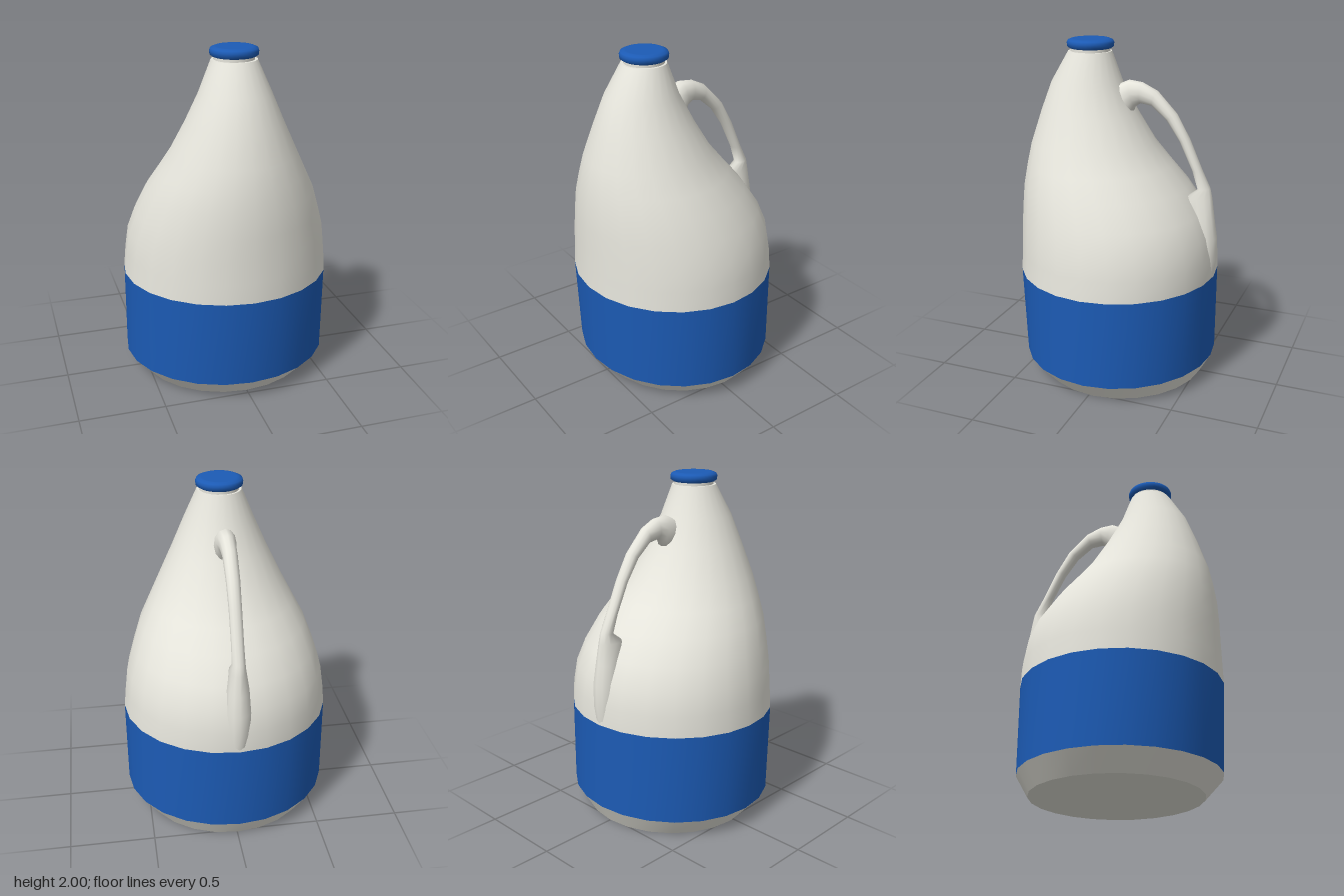
import * as THREE from 'three';

const white = new THREE.MeshStandardMaterial({ color: 0xe6e5dc });
const blue = new THREE.MeshStandardMaterial({ color: 0x1c5bb5 });

// Elliptical ring about a centre: "half" is the z/y half axis, w the half width in x
function ring(cy, cz, hy, hz, w, n) {
  return Array.from({ length: n }, (_, i) => {
    const a = (i / n) * Math.PI * 2;
    return [Math.sin(a) * w, cy + Math.cos(a) * hy, cz + Math.cos(a) * hz];
  });
}

// Smooth skin over a list of equal-sized closed rings
function loft(rings) {
  const n = rings[0].length, index = [];
  for (let r = 0; r < rings.length - 1; r++) {
    for (let i = 0; i < n; i++) {
      const a = r * n + i, b = r * n + (i + 1) % n;
      index.push(a, b, b + n, a, b + n, a + n);
    }
  }
  const g = new THREE.BufferGeometry();
  g.setAttribute('position', new THREE.Float32BufferAttribute(rings.flat(2), 3));
  g.setIndex(index);
  g.computeVertexNormals();
  return g;
}

// Horizontal body ring from height, half width, front z and back z
const level = ([y, w, front, back]) => ring(y, (front + back) / 2, 0, (front - back) / 2, w, 24);

export function createModel() {
  const model = new THREE.Group();
  const add = (name, geometry, material) => {
    const m = new THREE.Mesh(geometry, material);
    m.name = name;
    model.add(m);
    return m;
  };

  // Body levels: y, half width, front z, back z
  const foot = [0, 0.52, 0.47, -0.52];
  const labelBottom = [0.115, 0.617, 0.575, -0.585];
  const labelTop = [0.64, 0.617, 0.6, -0.587];
  const neckTop = [1.93, 0.13, 0.32, 0.065];
  const shoulders = [
    labelTop,
    [0.76, 0.605, 0.597, -0.583],
    [0.89, 0.588, 0.594, -0.56],
    [1.02, 0.547, 0.592, -0.505],
    [1.16, 0.495, 0.585, -0.405],
    [1.28, 0.43, 0.568, -0.3],
    [1.4, 0.367, 0.545, -0.2],
    [1.58, 0.28, 0.488, -0.09],
    [1.75, 0.205, 0.425, 0],
    neckTop,
  ];
  add('bottom', loft([level([0, 0, -0.02, -0.02]), level(foot)]), white);
  add('baseBevel', loft([foot, labelBottom].map(level)), white);
  add('labelBand', loft([labelBottom, labelTop].map(level)), blue);
  add('body', loft(shoulders.map(level)), white);
  add('neckTop', loft([level(neckTop), level([1.93, 0, 0.19, 0.19])]), white);

  // Handle sections: outer z, outer y, inner z, inner y, half width
  const sections = [
    [0.06, 1.74, -0.02, 1.56, 0.06],
    [0.0, 1.755, -0.075, 1.59, 0.065],
    [-0.05, 1.777, -0.09, 1.625, 0.058],
    [-0.13, 1.768, -0.12, 1.645, 0.048],
    [-0.22, 1.725, -0.19, 1.635, 0.043],
    [-0.34, 1.6, -0.28, 1.56, 0.04],
    [-0.42, 1.46, -0.36, 1.445, 0.037],
    [-0.5, 1.28, -0.44, 1.28, 0.036],
    [-0.55, 1.18, -0.475, 1.17, 0.038],
    [-0.565, 1.12, -0.4, 1.115, 0.048],
    [-0.582, 1.0, -0.42, 1.0, 0.065],
    [-0.6, 0.88, -0.44, 0.88, 0.075],
    [-0.6, 0.75, -0.46, 0.75, 0.07],
    [-0.585, 0.64, -0.5, 0.64, 0.05],
  ];
  add('handle', loft(sections.map(([oz, oy, iz, iy, w]) =>
    ring((oy + iy) / 2, (oz + iz) / 2, (oy - iy) / 2, (oz - iz) / 2, w, 12))), white);

  // Neck collar and screw cap
  const collar = add('collar', new THREE.CylinderGeometry(0.115, 0.115, 0.04, 24), white);
  collar.position.set(0, 1.94, 0.19);
  const capProfile = [[0, 1.947], [0.12, 1.947], [0.135, 1.957], [0.137, 1.978], [0.131, 1.992], [0.112, 2], [0.1, 2], [0, 2]];
  const cap = add('cap', new THREE.LatheGeometry(capProfile.map(([r, y]) => new THREE.Vector2(r, y)), 32), blue);
  cap.position.z = 0.19;

  return model;
}
